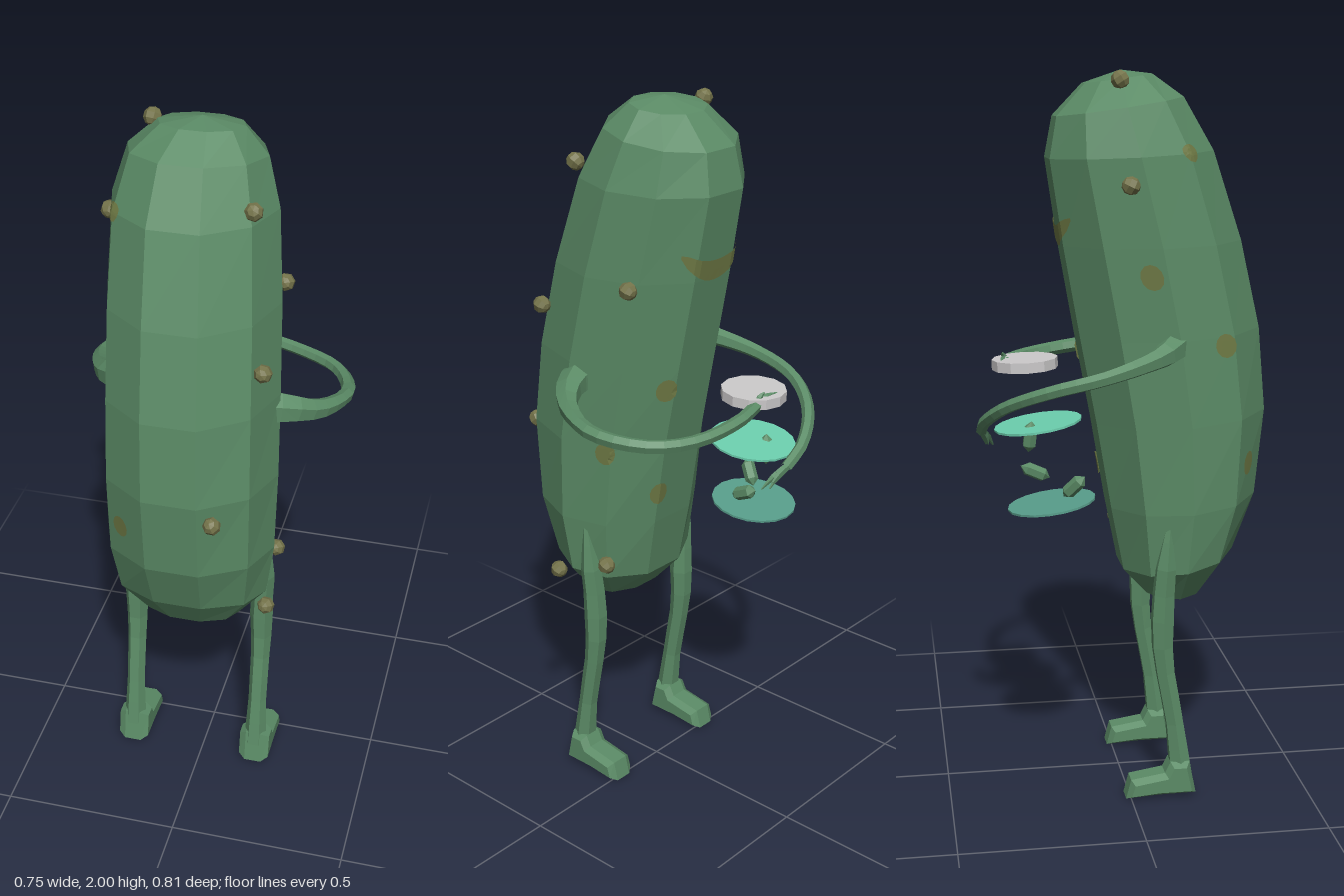
import * as THREE from 'three';

const mat = (name, color, extra = {}) => {
  const m = new THREE.MeshStandardMaterial({ color, flatShading: true, ...extra });
  m.name = name;
  return m;
};
const V = (p) => new THREE.Vector3(...p);

// Body rings, bottom to top: back z, back y, front z, front y, centre x, half width
const RINGS = [
  [0.14, 0.535, 0.14, 0.535, -0.03, 0],
  [0.23, 0.565, 0.07, 0.55, -0.03, 0.14],
  [0.31, 0.68, 0.0, 0.63, -0.03, 0.22],
  [0.37, 0.84, -0.035, 0.81, -0.027, 0.24],
  [0.395, 1.08, -0.075, 1.05, -0.025, 0.243],
  [0.375, 1.31, -0.12, 1.29, -0.028, 0.24],
  [0.32, 1.55, -0.165, 1.54, -0.035, 0.235],
  [0.24, 1.79, -0.2, 1.77, -0.045, 0.222],
  [0.16, 1.93, -0.18, 1.88, -0.045, 0.185],
  [0.08, 1.99, -0.1, 1.965, -0.035, 0.115],
  [0.0, 2.0, 0.0, 2.0, -0.03, 0],
];
const SIDES = 10;

// Corner of ring r at side k (side 0 begins just past the +z direction)
function corner(r, k) {
  const [bz, by, fz, fy, cx, rx] = RINGS[r];
  const a = ((k + 0.5) / SIDES) * Math.PI * 2;
  const c = Math.cos(a) / 0.951;
  return V([cx + rx * Math.sin(a), (by + fy) / 2 + ((by - fy) / 2) * c, (bz + fz) / 2 + ((bz - fz) / 2) * c]);
}

// Point on the faceted skin: t counts rings, angle in degrees from +z toward +x
function skin(t, deg, lift) {
  const r = Math.floor(t), u = (deg / 360) * SIDES - 0.5, k = Math.floor(u);
  const at = (ring) => corner(ring, k).lerp(corner(ring, k + 1), u - k);
  const p = at(r).lerp(at(r + 1), t - r);
  const a = (deg * Math.PI) / 180;
  return p.add(V([Math.sin(a) * lift, 0, Math.cos(a) * lift]));
}

// Surface from a grid of points
function grid(rows, cols, fn) {
  const pos = [], idx = [];
  for (let i = 0; i <= rows; i++) for (let j = 0; j <= cols; j++) pos.push(...fn(i, j).toArray());
  for (let i = 0; i < rows; i++) for (let j = 0; j < cols; j++) {
    const a = i * (cols + 1) + j, b = a + cols + 1;
    idx.push(a, a + 1, b + 1, a, b + 1, b);
  }
  const g = new THREE.BufferGeometry();
  g.setAttribute('position', new THREE.Float32BufferAttribute(pos, 3));
  g.setIndex(idx);
  g.computeVertexNormals();
  return g;
}

// Tube along a smooth path whose radius follows a list
function limbGeometry(points, radii, segs = 14, sides = 6) {
  const curve = new THREE.CatmullRomCurve3(points.map(V));
  const g = new THREE.TubeGeometry(curve, segs, 1, sides);
  const p = g.attributes.position, v = new THREE.Vector3();
  for (let i = 0; i <= segs; i++) {
    const c = curve.getPointAt(i / segs);
    const f = (i / segs) * (radii.length - 1), k = Math.min(Math.floor(f), radii.length - 2);
    const r = THREE.MathUtils.lerp(radii[k], radii[k + 1], f - k);
    for (let j = 0; j <= sides; j++) {
      const n = i * (sides + 1) + j;
      v.fromBufferAttribute(p, n).sub(c).multiplyScalar(r).add(c);
      p.setXYZ(n, v.x, v.y, v.z);
    }
  }
  g.computeVertexNormals();
  return g;
}

export function createModel() {
  const model = new THREE.Group();
  const green = mat('pickle green', 0x5b8b66);
  const olive = mat('wart olive', 0x74734a);
  const patch = mat('patch brown', 0x6f7a45, { side: THREE.DoubleSide });
  const teal = mat('bright teal', 0x6ccfae);
  const darkTeal = mat('muted teal', 0x589e8b);
  const white = mat('dish white', 0xcccacb, { side: THREE.DoubleSide });

  const add = (name, geo, material, pos = [0, 0, 0], rot = [0, 0, 0]) => {
    const m = new THREE.Mesh(geo, material);
    m.name = name;
    m.position.set(...pos);
    m.rotation.set(...rot);
    model.add(m);
    return m;
  };

  add('body', grid(RINGS.length - 1, SIDES, corner), green);

  // Warts
  const wart = new THREE.SphereGeometry(0.025, 7, 5);
  [[-0.165, 1.975, -0.02], [-0.285, 1.71, -0.01], [0.14, 1.83, 0.16], [0.19, 1.43, 0.25],
    [0.09, 1.03, 0.385], [0.2, 0.64, 0.2], [0.18, 1.53, -0.06], [0.19, 0.71, 0.02],
  ].forEach((p) => add('wart', wart, olive, p, [p[0] * 5, p[1], 0.3]));

  // Faint skin spots: ring position, angle
  [[7.05, -53], [3.45, -40], [4.9, -61], [3.95, 122], [4.75, 156], [3.4, 162], [5.7, -100]].forEach(([t, a]) => {
    add('skinSpot', grid(2, 12, (i, j) => {
      const w = (j / 12) * Math.PI * 2, s = i / 2;
      return skin(t + 0.14 * s * Math.sin(w), a + 7 * s * Math.cos(w), 0.005);
    }), patch);
  });

  // Smiling mouth, thick in the middle
  add('mouth', grid(2, 12, (i, j) => {
    const s = (j / 12) * 2 - 1;
    return skin(6.1 + 0.22 * s * s + (i - 1) * 0.12 * Math.sqrt(1.02 - s * s), 180 + s * 30, 0.005);
  }), patch);

  // Arms
  add('rightArm', limbGeometry([
    [0.17, 1.25, 0.12], [0.23, 1.245, 0.105], [0.3, 1.22, 0.05], [0.355, 1.195, -0.09], [0.3, 1.18, -0.235],
    [0.19, 1.18, -0.305], [0.04, 1.2, -0.33], [-0.05, 1.22, -0.32],
  ], [0.05, 0.032, 0.021, 0.02, 0.019, 0.018, 0.018, 0.017], 20), green);
  add('leftArm', limbGeometry([
    [-0.22, 1.29, 0.13], [-0.29, 1.265, 0.07], [-0.35, 1.225, -0.08], [-0.335, 1.19, -0.22], [-0.26, 1.14, -0.33],
    [-0.16, 1.08, -0.385], [-0.085, 1.04, -0.39],
  ], [0.045, 0.026, 0.02, 0.019, 0.018, 0.017, 0.016], 20), green);

  // Fingers
  const fingers = (name, base, tips) => tips.forEach((tip) => {
    const mid = base.map((b, i) => (b + tip[i]) / 2 + (i === 1 ? 0.006 : 0));
    add(name, limbGeometry([base, mid, tip], [0.011, 0.009, 0.002], 4, 5), green);
  });
  fingers('rightFinger', [-0.04, 1.22, -0.32], [[-0.11, 1.235, -0.335], [-0.105, 1.23, -0.312], [-0.11, 1.225, -0.29], [-0.06, 1.25, -0.33]]);
  fingers('leftFinger', [-0.09, 1.042, -0.39], [[-0.025, 0.985, -0.355], [-0.035, 0.99, -0.375], [-0.035, 1.01, -0.385], [-0.06, 0.995, -0.37]]);

  // Legs and feet
  const sole = new THREE.Shape([[0.17, 0.02], [0.155, 0.09], [0.12, 0.09], [0.105, 0.06], [0.01, 0.045], [0, 0.013], [0.08, 0.02]]
    .map(([z, y]) => new THREE.Vector2(-z, y)));
  const footGeo = new THREE.ExtrudeGeometry(sole, { depth: 0.05, bevelEnabled: true, bevelThickness: 0.02, bevelSize: 0.013, bevelSegments: 1 });
  footGeo.translate(0, 0, -0.025).rotateY(Math.PI / 2);
  [['rightLeg', 'rightFoot', 0.165], ['leftLeg', 'leftFoot', -0.215]].forEach(([leg, foot, x]) => {
    const s = Math.sign(x);
    add(leg, limbGeometry([
      [x + s * 0.015, 0.82, 0.11], [x + s * 0.01, 0.7, 0.1], [x, 0.56, 0.092], [x, 0.42, 0.092], [x, 0.22, 0.125], [x, 0.06, 0.145],
    ], [0.006, 0.03, 0.034, 0.028, 0.027, 0.034], 10), green);
    add(foot, footGeo, green, [x, 0, 0]);
  });

  // Stacked discs and dish lid in front of the body
  const plate = new THREE.CylinderGeometry(0.12, 0.12, 0.006, 18);
  add('upperDisc', plate, teal, [-0.13, 1.065, -0.24], [-0.14, 0, 0]);
  add('lowerDisc', plate, darkTeal, [-0.18, 0.855, -0.21], [-0.14, 0, 0]);
  const lid = new THREE.LatheGeometry([[0.075, -0.014], [0.09, -0.014], [0.09, 0.014], [0, 0.014]]
    .map((p) => new THREE.Vector2(...p)), 12);
  add('dishLid', lid, white, [-0.09, 1.225, -0.27], [-0.04, 0, 0]);

  // Small chunks floating around the discs
  const chunk = new THREE.CapsuleGeometry(0.019, 0.05, 1, 6);
  add('chunk', chunk, green, [-0.16, 1.035, -0.265], [0.1, 0, 0.1]);
  add('chunk', chunk, green, [-0.23, 0.91, -0.155], [0.6, 0.3, 0.4]);
  add('chunk', chunk, green, [-0.09, 0.92, -0.245], [-1.15, 0.4, 0]);
  return model;
}
